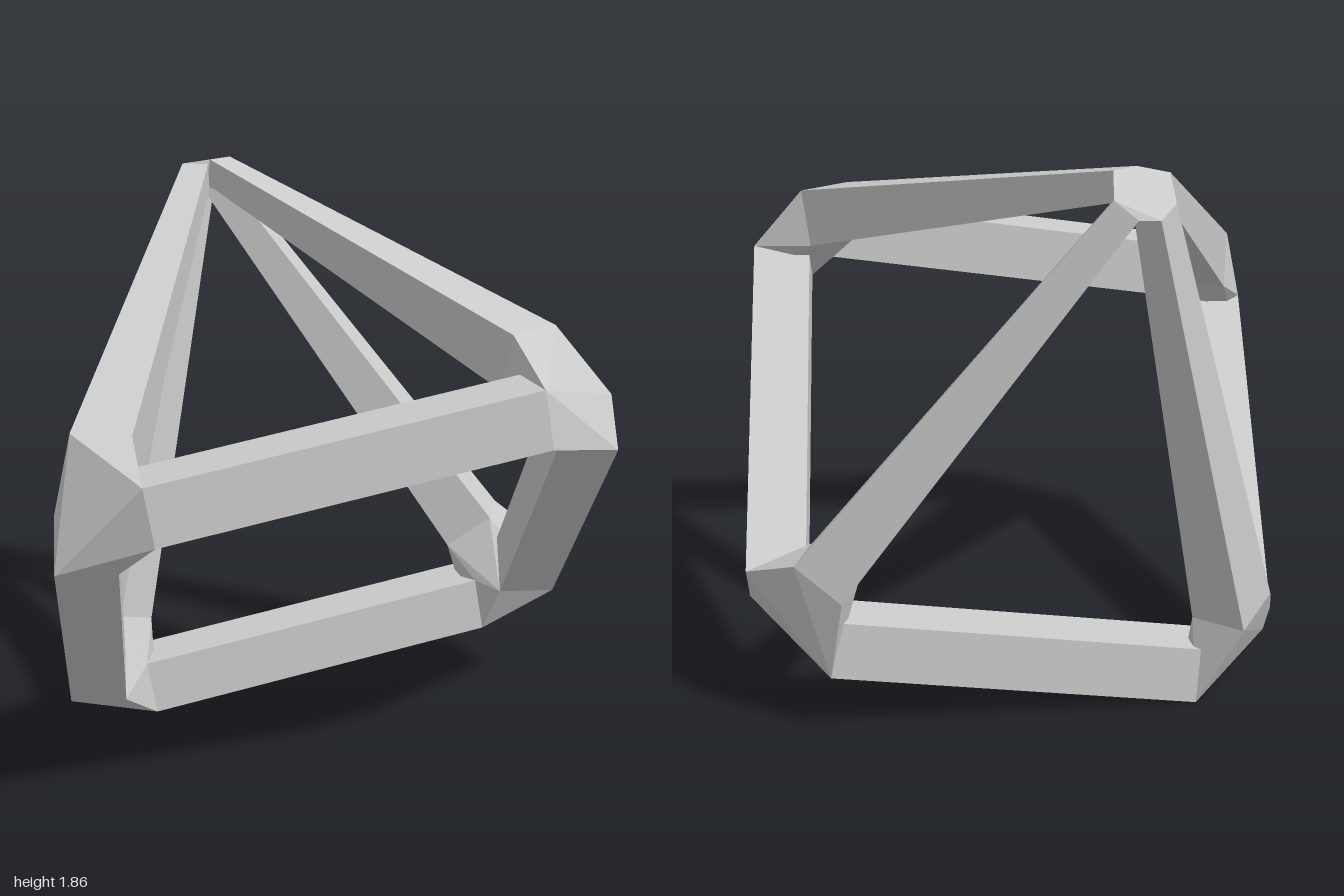
import * as THREE from 'three';
import { ConvexGeometry } from 'three/addons/geometries/ConvexGeometry.js';

const V = (x, y, z) => new THREE.Vector3(x, y, z);

// Corner points of the tilted pyramid: four base corners and the apex.
// half = half the strut thickness at that corner.
const nodes = {
  rightFront: { p: V(-0.925, 1.1, 0.64), half: 0.094 },
  leftFront: { p: V(0.594, 1.37, 0.85), half: 0.094 },
  leftBack: { p: V(0.927, 0.327, -0.273), half: 0.094 },
  rightBack: { p: V(-0.592, 0.092, -0.483), half: 0.094 },
  apex: { p: V(-0.055, 1.838, -0.88), half: 0.045 },
};
nodes.rightBack.p.y = 0.06;

// Square section around a strut axis, with two sides kept horizontal
function section(centre, dir, half) {
  const side = V(0, 1, 0).cross(dir).normalize();
  const up = dir.clone().cross(side);
  return [[-1, -1], [1, -1], [1, 1], [-1, 1]].map(([a, b]) =>
    centre.clone().addScaledVector(side, a * half).addScaledVector(up, b * half));
}

// Four flat sides between two square sections
function strutGeometry(s, e) {
  const pts = [];
  for (let i = 0; i < 4; i++) {
    const j = (i + 1) % 4;
    pts.push(s[i], s[j], e[j], s[i], e[j], e[i]);
  }
  const g = new THREE.BufferGeometry().setFromPoints(pts);
  g.computeVertexNormals();
  return g;
}

export function createModel() {
  const group = new THREE.Group();
  const grey = new THREE.MeshStandardMaterial({ color: 0xcccccc, flatShading: true });
  grey.name = 'light grey';

  const add = (geometry, name) => {
    const mesh = new THREE.Mesh(geometry, grey);
    mesh.name = name;
    group.add(mesh);
  };

  const base = ['rightFront', 'leftFront', 'leftBack', 'rightBack'];
  const ends = {};
  for (const k in nodes) ends[k] = [];

  // Strut between two corners, starting and stopping short of them
  const strut = (a, b, gapA, gapB, name) => {
    const A = nodes[a], B = nodes[b];
    const dir = B.p.clone().sub(A.p).normalize();
    const s = section(A.p.clone().addScaledVector(dir, gapA), dir, A.half);
    const e = section(B.p.clone().addScaledVector(dir, -gapB), dir, B.half);
    ends[a].push(...s);
    ends[b].push(...e);
    add(strutGeometry(s, e), name);
  };

  // Base frame and the tapering struts to the apex
  base.forEach((k, i) => {
    strut(k, base[(i + 1) % 4], 0.175, 0.175, `${k}BaseStrut`);
    strut(k, 'apex', 0.28, 0.095, `${k}ApexStrut`);
  });

  // Joints: the hull around the strut ends that meet at each corner
  for (const k in nodes) add(new ConvexGeometry(ends[k]), `${k}Joint`);

  return group;
}
